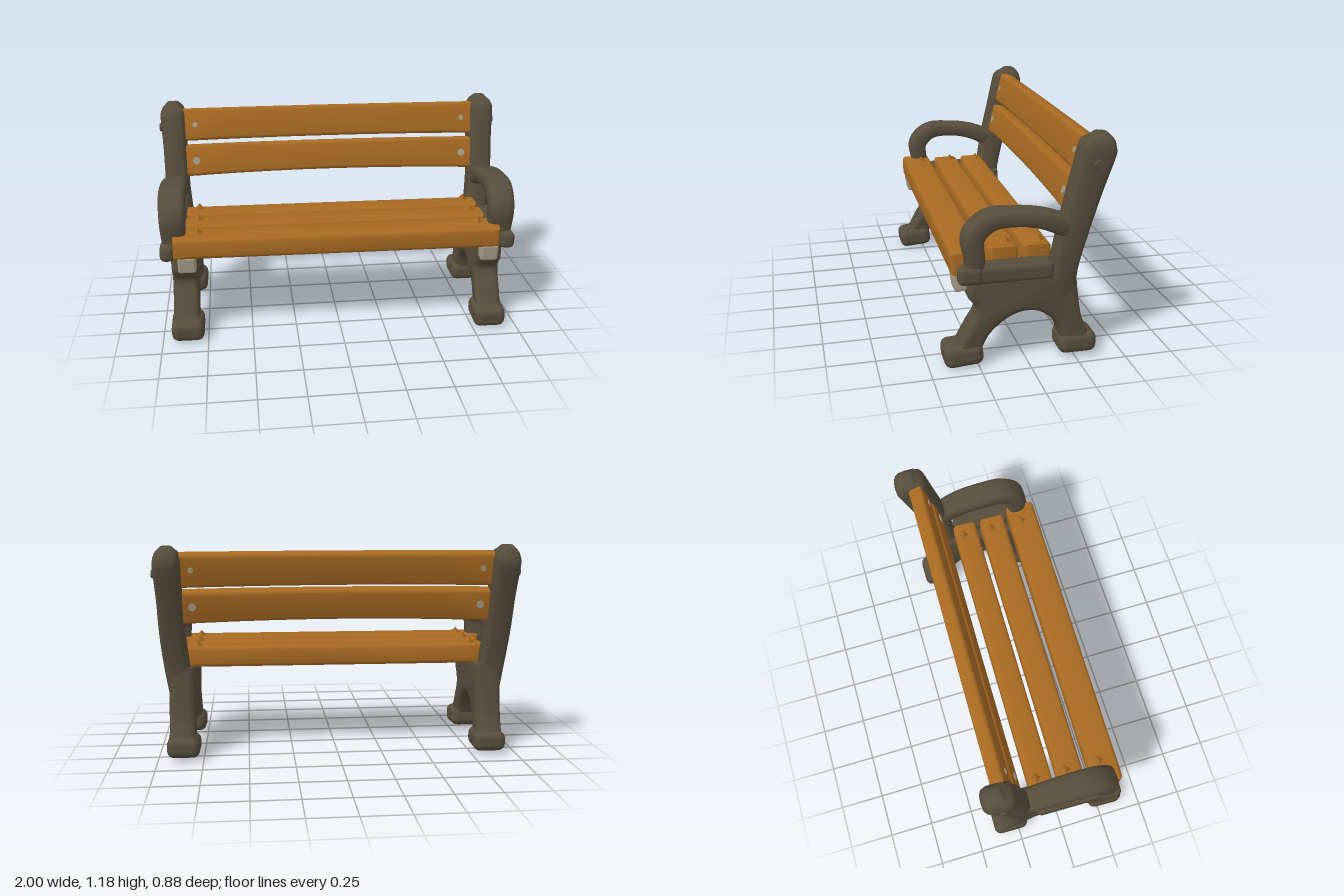
import * as THREE from 'three';
import { toCreasedNormals } from 'three/addons/utils/BufferGeometryUtils.js';
import { RoundedBoxGeometry } from 'three/addons/geometries/RoundedBoxGeometry.js';

const mat = (name, color) => Object.assign(new THREE.MeshStandardMaterial({ color }), { name });

// Rounded bar swept through stations [z, y, x, depth, width]
function sweep(stations, side, steps = 30, ring = 16) {
  const path = new THREE.CatmullRomCurve3(stations.map(([z, y, x]) => new THREE.Vector3(x * side, y, z)));
  const size = new THREE.CatmullRomCurve3(stations.map((s) => new THREE.Vector3(s[3], s[4], 0)));
  const soft = (v) => Math.sign(v) * Math.abs(v) ** 0.6;
  const pos = [], index = [];
  for (let i = 0; i <= steps; i++) {
    const c = path.getPoint(i / steps), s = size.getPoint(i / steps), t = path.getTangent(i / steps);
    const l = Math.hypot(t.y, t.z);
    for (let j = 0; j < ring; j++) {
      const a = (j / ring) * Math.PI * 2;
      const u = soft(Math.cos(a)) * s.y / 2, v = soft(Math.sin(a)) * s.x / 2;
      pos.push(c.x + u, c.y + v * t.z / l, c.z - v * t.y / l);
      if (i < steps) {
        const p = i * ring + j, q = i * ring + (j + 1) % ring;
        index.push(p, q, q + ring, p, q + ring, p + ring);
      }
    }
  }
  // End caps
  const first = path.getPoint(0), last = path.getPoint(1), n = pos.length / 3, e = steps * ring;
  pos.push(first.x, first.y, first.z, last.x, last.y, last.z);
  for (let j = 0; j < ring; j++) {
    const k = (j + 1) % ring;
    index.push(n, k, j, n + 1, e + j, e + k);
  }
  const g = new THREE.BufferGeometry();
  g.setAttribute('position', new THREE.Float32BufferAttribute(pos, 3));
  g.setIndex(index);
  g.computeVertexNormals();
  return g;
}

// Extrusion with rounded edges, centred in depth and kept inside its outline
function roundedExtrude(shape, depth, bevel) {
  const g = new THREE.ExtrudeGeometry(shape, {
    depth: depth - 2 * bevel, bevelThickness: bevel, bevelSize: bevel, bevelOffset: -bevel,
    bevelSegments: 3, curveSegments: 10,
  });
  g.translate(0, 0, -(depth - 2 * bevel) / 2);
  return toCreasedNormals(g, 0.7);
}

// Plank with its long edges bowed upward in the middle
function plank(length, height, thick, bowTop = 0, bowBottom = 0) {
  const l = length / 2, h = height / 2;
  const s = new THREE.Shape();
  s.moveTo(-l, -h);
  s.quadraticCurveTo(0, -h + 2 * bowBottom, l, -h);
  s.lineTo(l, h);
  s.quadraticCurveTo(0, h + 2 * bowTop, -l, h);
  s.closePath();
  return roundedExtrude(s, thick, 0.02);
}

const pts = (list) => list.map(([x, y]) => new THREE.Vector2(x, y));

// Lower frame outline: two splayed legs joined over an arch
function legShape() {
  const s = new THREE.Shape();
  s.moveTo(0.375, 0.08);
  s.splineThru(pts([[0.31, 0.2], [0.26, 0.3], [0.305, 0.38], [0.29, 0.48]]));
  s.lineTo(-0.25, 0.5);
  s.splineThru(pts([[-0.262, 0.36], [-0.29, 0.2], [-0.345, 0.08]]));
  s.lineTo(-0.18, 0.08);
  s.splineThru(pts([[-0.16, 0.16], [-0.12, 0.22], [-0.05, 0.264], [0.03, 0.268],
    [0.11, 0.235], [0.19, 0.165], [0.235, 0.08]]));
  return s;
}

export function createModel() {
  const model = new THREE.Group();
  const bench = new THREE.Group();
  bench.name = 'bench';
  bench.rotation.y = -0.015;
  model.add(bench);

  const iron = mat('dark iron', 0x574d3b);
  const wood = mat('brown wood', 0xa86a22);
  const pale = mat('pale metal', 0xa89f8a);

  const add = (parent, name, geo, material, x = 0, y = 0, z = 0) => {
    const m = new THREE.Mesh(geo, material);
    m.name = name;
    m.position.set(x, y, z);
    parent.add(m);
    return m;
  };

  // Side frames
  for (const side of [-1, 1]) {
    const frame = new THREE.Group();
    frame.name = side > 0 ? 'leftFrame' : 'rightFrame';
    frame.position.z = -0.013;
    bench.add(frame);

    add(frame, 'legs', roundedExtrude(legShape(), 0.145, 0.035), iron, side * 0.86).rotation.y = -Math.PI / 2;
    add(frame, 'frontFoot', new RoundedBoxGeometry(0.18, 0.115, 0.2, 3, 0.04), iron, side * 0.855, 0.06, 0.325).rotation.x = 0.08;
    add(frame, 'backFoot', new RoundedBoxGeometry(0.18, 0.11, 0.2, 3, 0.04), iron, side * 0.855, 0.07, -0.265);

    add(frame, 'backPost', sweep([
      [-0.19, 0.33, 0.865, 0.13, 0.13], [-0.187, 0.48, 0.885, 0.135, 0.14],
      [-0.228, 0.7, 0.905, 0.15, 0.14], [-0.28, 0.9, 0.91, 0.165, 0.14],
      [-0.333, 1.09, 0.915, 0.182, 0.15], [-0.345, 1.14, 0.915, 0.14, 0.125],
      [-0.348, 1.175, 0.915, 0.06, 0.06],
    ], side), iron);

    add(frame, 'armrest', sweep([
      [0.27, 0.5, 0.905, 0.09, 0.12], [0.272, 0.58, 0.91, 0.1, 0.135], [0.278, 0.69, 0.91, 0.11, 0.145],
      [0.2, 0.768, 0.912, 0.1, 0.15], [0.06, 0.778, 0.912, 0.088, 0.15],
      [-0.07, 0.757, 0.912, 0.095, 0.145], [-0.2, 0.705, 0.905, 0.11, 0.13],
    ], side), iron);

    add(frame, 'seatRail', new RoundedBoxGeometry(0.12, 0.09, 0.46, 3, 0.025), iron, side * 0.91, 0.5, 0.11);
    add(frame, 'railKnob', new RoundedBoxGeometry(0.08, 0.095, 0.12, 3, 0.03), iron, side * 0.945, 0.505, 0.3);
    add(frame, 'postBolt', new THREE.CylinderGeometry(0.022, 0.032, 0.03, 12), iron, side * 0.983, 1.03, -0.32)
      .rotation.z = -side * Math.PI / 2;
    add(frame, 'seatBracket', new RoundedBoxGeometry(0.1, 0.1, 0.07, 2, 0.015), pale, side * 0.84, 0.445, 0.335)
      .rotation.x = 0.15;
  }

  // Seat slats: the front one overlaps the frame
  const seat = [[0.283, 0.172, 1.8], [0.092, 0.15, 1.7], [-0.08, 0.14, 1.7]];
  seat.forEach(([z, width, length], i) => {
    add(bench, 'seatSlat' + (i + 1), plank(length, 0.115, width), wood, i ? 0 : -0.01, 0.539, z);
    // Raised splinters near the slat ends
    for (const side of [-1, 1]) {
      add(bench, 'splinter', new THREE.ConeGeometry(0.04, 0.045, 4), wood, side * 0.78, 0.608, z - 0.02);
    }
  });

  // Leaning back slats with bolt heads
  const back = [[1.047, -0.312, 0.188, 0.003, 0.01, 0.016], [0.843, -0.262, 0.185, 0.008, 0.02, 0.022]];
  back.forEach(([y, z, height, bowTop, bowBottom, r], i) => {
    const slat = new THREE.Group();
    slat.name = i ? 'lowerBackSlat' : 'upperBackSlat';
    slat.position.set(0, y, z);
    slat.rotation.x = -0.23;
    bench.add(slat);
    add(slat, 'plank', plank(1.72, height, 0.08, bowTop, bowBottom), wood);
    for (const side of [-1, 1]) {
      for (const face of [-1, 1]) {
        add(slat, 'boltHead', new THREE.CylinderGeometry(r, r, 0.008, 8), pale, side * 0.79, face > 0 ? 0.0 : 0.01, face * 0.041)
          .rotation.x = Math.PI / 2;
      }
    }
  });

  return model;
}
